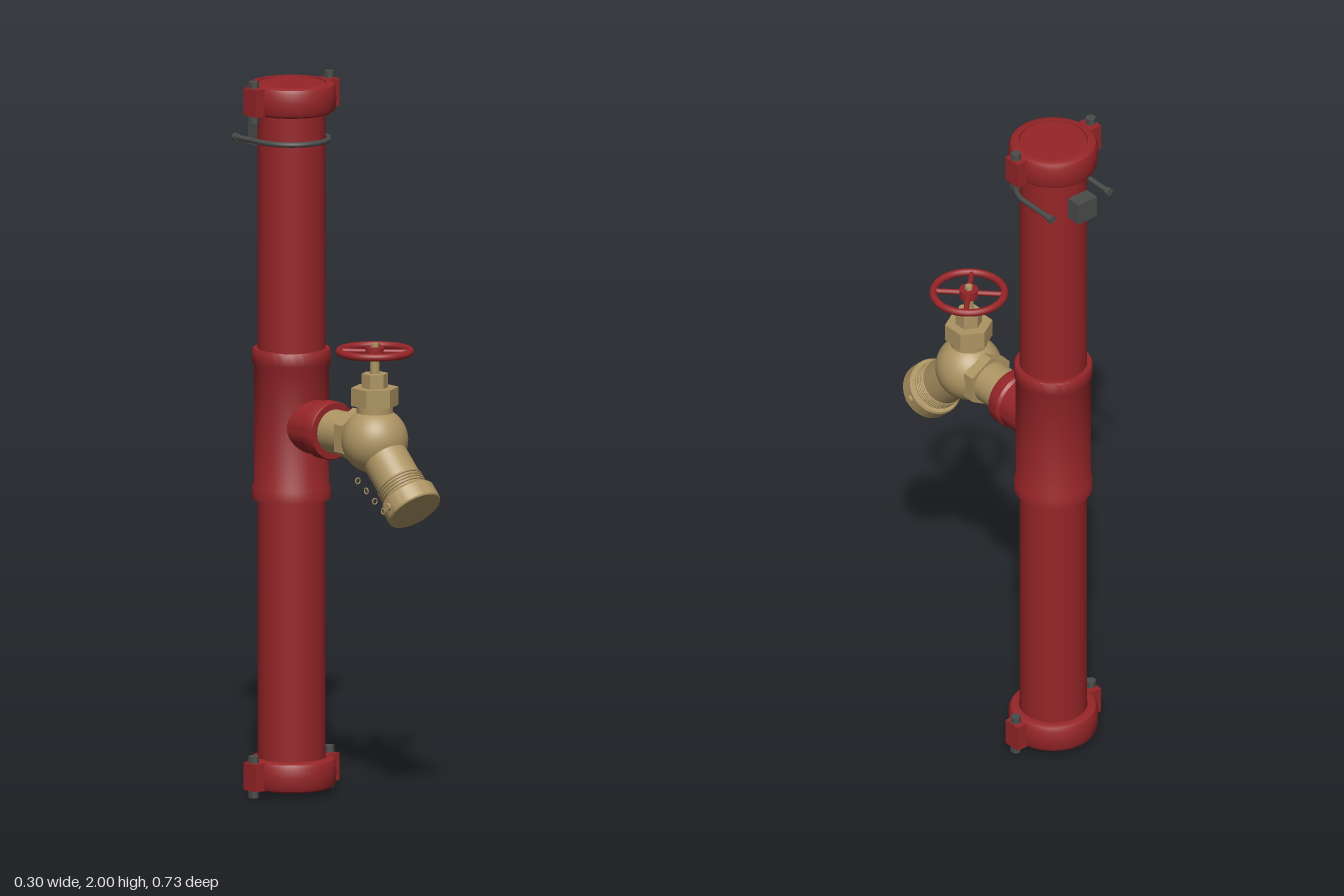
import * as THREE from 'three';
import { toCreasedNormals } from 'three/addons/utils/BufferGeometryUtils.js';

const mat = (name, color) => {
  const m = new THREE.MeshStandardMaterial({ color });
  m.name = name;
  return m;
};

export function createModel() {
  const red = mat('red paint', 0x962528);
  const brass = mat('brass', 0xad9463);
  const steel = mat('dark steel', 0x4a4c4a);
  const root = new THREE.Group();
  root.name = 'standpipe';

  const group = (name, parent, x = 0, y = 0, z = 0) => {
    const g = new THREE.Group();
    g.name = name;
    g.position.set(x, y, z);
    parent.add(g);
    return g;
  };
  const add = (name, parent, geo, material, x = 0, y = 0, z = 0) => {
    const m = new THREE.Mesh(geo, material);
    m.name = name;
    m.position.set(x, y, z);
    parent.add(m);
    return m;
  };
  // upright cylinder between two heights
  const cyl = (r, y0, y1, sides = 48) =>
    new THREE.CylinderGeometry(r, r, y1 - y0, sides).translate(0, (y0 + y1) / 2, 0);
  const hex = (r, y0, y1) => toCreasedNormals(cyl(r, y0, y1, 6), 0.5);
  const lathe = (pts, sides = 56) => toCreasedNormals(
    new THREE.LatheGeometry(pts.map(p => new THREE.Vector2(...p)), sides), 0.6);

  // Main pipe
  const riser = group('riser', root, 0, 0, -0.22);
  add('pipe', riser, cyl(0.093, 0.025, 1.985, 56), red);

  // Grooved couplings with bolted lugs at both ends
  for (const [name, y] of [['bottomCoupling', 0.066], ['topCoupling', 1.946]]) {
    const c = group(name, riser, 0, y, 0);
    add('couplingRing', c, lathe([
      [0.0945, -0.042], [0.108, -0.042], [0.117, -0.037], [0.122, -0.026], [0.123, 0],
      [0.122, 0.026], [0.117, 0.037], [0.108, 0.042], [0.0945, 0.042], [0.0945, -0.042],
    ]), red);
    for (const s of [-1, 1]) {
      add('lug', c, new THREE.BoxGeometry(0.05, 0.076, 0.052), red, s * 0.124, 0, 0);
      const bolt = group('bolt', c, s * 0.134, 0, 0);
      add('boltShank', bolt, cyl(0.009, -0.056, 0.056, 16), steel);
      add('boltHead', bolt, hex(0.015, 0.04, 0.058), steel);
      add('boltNut', bolt, hex(0.015, -0.058, -0.04), steel);
    }
  }

  // U-bolt clamp and its back block
  const clamp = group('pipeClamp', riser, 0, 1.83, 0);
  class UPath extends THREE.Curve {
    getPoint(t, target = new THREE.Vector3()) {
      const R = 0.103, leg = 0.11;
      if (t < 0.2) return target.set(R, 0, -leg * (1 - t / 0.2));
      if (t > 0.8) return target.set(-R, 0, -leg * (t - 0.8) / 0.2);
      const a = Math.PI * (t - 0.2) / 0.6;
      return target.set(R * Math.cos(a), 0, R * Math.sin(a));
    }
  }
  add('uBolt', clamp, new THREE.TubeGeometry(new UPath(), 64, 0.0075, 10), steel);
  for (const s of [-1, 1]) {
    add('uBoltNut', clamp, cyl(0.011, -0.006, 0.006, 16).rotateX(Math.PI / 2), steel, s * 0.103, 0, -0.113);
  }
  add('clampBlock', clamp, new THREE.BoxGeometry(0.066, 0.064, 0.044), steel, 0, 0, -0.125);

  // Tee fitting with end collars
  add('teeBody', riser, lathe([
    [0.093, 0.83], [0.108, 0.83], [0.108, 0.862], [0.103, 0.872],
    [0.103, 1.2], [0.108, 1.21], [0.108, 1.242], [0.105, 1.247], [0.093, 1.247],
  ]), red);
  add('teeBranch', riser, lathe([
    [0.075, 0.02], [0.075, 0.14], [0.081, 0.148], [0.081, 0.178], [0.078, 0.184], [0.05, 0.184],
  ]).rotateX(Math.PI / 2), red, 0, 1.04, 0);

  // Angle valve
  const valve = group('angleValve', root, 0, 1.04, 0.14);
  add('inletPipe', valve, cyl(0.06, -0.19, -0.05).rotateX(Math.PI / 2), brass);
  add('inletNut', valve, hex(0.077, -0.095, -0.06).rotateX(Math.PI / 2), brass);
  add('valveBody', valve, new THREE.SphereGeometry(0.092, 40, 28), brass);
  add('bonnetNeck', valve, cyl(0.05, 0.06, 0.11, 32), brass);
  add('bonnetNut', valve, hex(0.066, 0.097, 0.147), brass);
  add('packingNut', valve, hex(0.037, 0.147, 0.186), brass);
  add('stem', valve, cyl(0.013, 0.18, 0.257, 20), brass);
  add('stemTip', valve, hex(0.011, 0.25, 0.27), brass);

  // Handwheel
  const wheel = group('handwheel', valve, 0, 0.247, 0);
  add('wheelRim', wheel, new THREE.TorusGeometry(0.098, 0.0105, 14, 56).rotateX(Math.PI / 2), red);
  add('wheelHub', wheel, cyl(0.026, -0.012, 0.012, 28), red);
  for (let i = 0; i < 4; i++) {
    const spoke = add('spoke', wheel, cyl(0.0075, 0.02, 0.097, 12).rotateX(Math.PI / 2), red);
    spoke.rotation.y = Math.PI / 4 + i * Math.PI / 2;
  }

  // Hose outlet, angled down and forward, with thread and cap
  const outlet = group('hoseOutlet', valve);
  outlet.rotation.x = Math.PI * 0.75;
  add('outletPipe', outlet, cyl(0.064, 0.03, 0.2), brass);
  for (let i = 0; i < 5; i++) {
    add('threadRidge', outlet,
      new THREE.TorusGeometry(0.064, 0.0035, 8, 48).rotateX(Math.PI / 2), brass, 0, 0.152 + i * 0.009, 0);
  }
  add('outletCap', outlet, lathe([
    [0, 0.195], [0.075, 0.195], [0.079, 0.2], [0.079, 0.242], [0.076, 0.246], [0, 0.246],
  ]), brass);
  for (const s of [-1, 1]) {
    add('capLug', outlet, cyl(0.011, -0.01, 0.01, 16).rotateZ(Math.PI / 2), brass, s * 0.077, 0.22, 0);
  }

  // Retaining chain of separate links beside the outlet
  const chain = group('capChain', valve);
  for (let i = 0; i < 4; i++) {
    const t = i / 3;
    const link = add('chainLink', chain, new THREE.TorusGeometry(0.008, 0.002, 6, 14), brass,
      -0.085, -0.1 - 0.07 * t, 0.03 + 0.11 * t);
    link.rotation.y = i % 2 ? Math.PI / 2 : 0;
  }
  return root;
}
